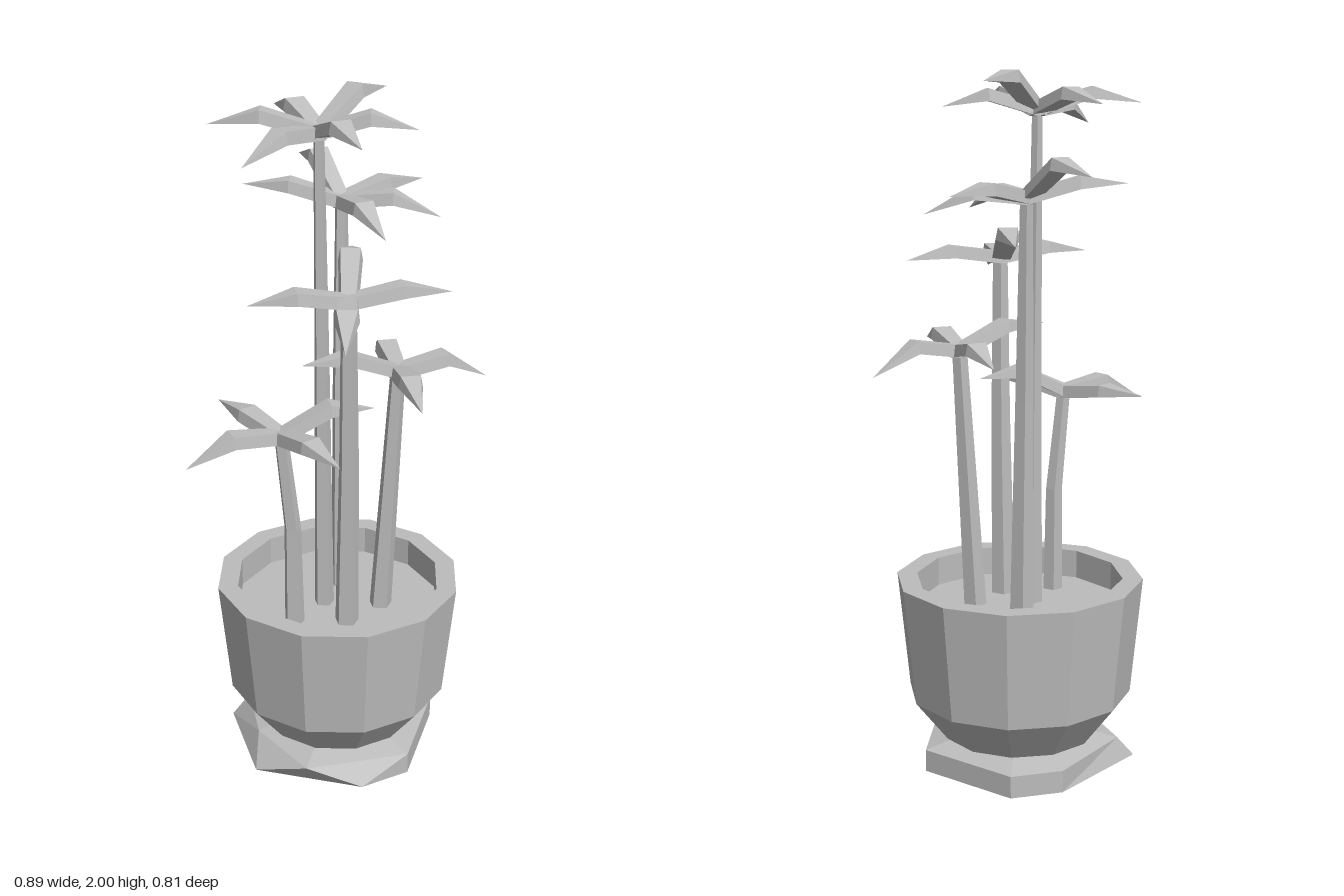
import * as THREE from 'three';

const V = (x, y, z) => new THREE.Vector3(x, y, z);

// Skin a list of equal-sized rings (counter-clockwise about the path) and cap both ends
function loft(rings) {
  const pos = [];
  const tri = (a, b, c) => pos.push(...a.toArray(), ...b.toArray(), ...c.toArray());
  const n = rings[0].length;
  for (let i = 0; i < rings.length - 1; i++) {
    for (let j = 0; j < n; j++) {
      const k = (j + 1) % n, r = rings[i], s = rings[i + 1];
      tri(r[j], r[k], s[k]);
      if (!s[j].equals(s[k])) tri(r[j], s[k], s[j]);
    }
  }
  const first = rings[0], last = rings[rings.length - 1];
  for (let j = 1; j < n - 1; j++) {
    tri(first[0], first[j + 1], first[j]);
    if (!last[0].equals(last[1])) tri(last[0], last[j], last[j + 1]);
  }
  const g = new THREE.BufferGeometry();
  g.setAttribute('position', new THREE.Float32BufferAttribute(pos, 3));
  g.computeVertexNormals();
  return g;
}

// Tapered five-sided stem through a few points
function stemGeometry(points, r0, r1) {
  return loft(points.map((p, i) => {
    const r = THREE.MathUtils.lerp(r0, r1, i / (points.length - 1));
    return Array.from({ length: 5 }, (_, j) => {
      const a = j / 5 * Math.PI * 2 + 0.3;
      return V(p.x + r * Math.sin(a), p.y, p.z + r * Math.cos(a));
    });
  }));
}

// Leaf blade: flat top, steep sides, bent at the middle and pointed at the tip
function leafGeometry(c, tip, lift) {
  const dir = V(tip.x - c.x, 0, tip.z - c.z).normalize();
  const side = V(0, 1, 0).cross(dir);
  const section = (p, w, h) => [[w, 0], [-w, 0], [-w - 0.006, -h], [w + 0.006, -h]]
    .map(([u, v]) => p.clone().addScaledVector(side, u).add(V(0, v, 0)));
  const mid = c.clone().lerp(tip, 0.52);
  mid.y += lift;
  return loft([section(c, 0.02, 0.035), section(mid, 0.028, 0.034), Array(4).fill(tip)]);
}

// Each palm: stem foot, bend and crown, then leaf tips [x, y, z, lift]
const PALMS = [
  { foot: [-0.025, 0.01], bend: [-0.03, 1.2, 0.01], top: [-0.035, 1.91, 0], r: [0.03, 0.015],
    tips: [[-0.32, 1.91, -0.08], [-0.27, 1.85, 0.15], [0.22, 1.9, 0.07], [0.015, 1.91, 0.27],
      [-0.1, 1.91, -0.27], [0.19, 1.97, -0.15, 0.058]] },
  { foot: [0.055, -0.09], bend: [0.055, 1.1, -0.11], top: [0.06, 1.68, -0.135], r: [0.036, 0.018],
    tips: [[0, 1.73, -0.41, 0.07], [0.325, 1.68, -0.24, 0.03], [0.325, 1.62, -0.05],
      [-0.2, 1.7, -0.23, 0.03], [0.12, 1.62, 0.12]] },
  { foot: [0.015, 0.13], bend: [0.015, 1, 0.145], top: [0.01, 1.49, 0.155], r: [0.036, 0.022],
    tips: [[-0.06, 1.42, 0.405], [0.3, 1.475, 0.15, 0.03], [-0.265, 1.48, 0.15, 0.03],
      [0.09, 1.53, -0.13, 0.06]] },
  { foot: [0.135, 0.06], bend: [0.155, 0.85, 0.065], top: [0.175, 1.24, 0.07], r: [0.034, 0.022],
    tips: [[0.445, 1.17, 0.04, 0.06], [0.16, 1.22, 0.36, 0.04], [0.18, 1.21, -0.19, 0.04],
      [-0.11, 1.28, 0.11, 0.04]] },
  { foot: [-0.135, 0.1], bend: [-0.138, 0.78, 0.1], top: [-0.17, 1.09, 0.1], r: [0.03, 0.02],
    tips: [[-0.445, 1.03, 0.165, 0.05], [-0.06, 1.08, 0.355, 0.03], [-0.3, 1.09, -0.15, 0.02],
      [0.1, 1.13, 0.1, 0.05]] },
];

export function createModel() {
  const model = new THREE.Group();
  model.name = 'pottedPalms';
  const grey = new THREE.MeshStandardMaterial({ color: 0xbcbcbc, flatShading: true });
  grey.name = 'plain grey';
  const add = (parent, geometry, name) => {
    const m = new THREE.Mesh(geometry, grey);
    m.name = name;
    parent.add(m);
    return m;
  };

  // Twelve-sided pot with a thick rim, and the soil inside
  const profile = [[0, 0.08], [0.23, 0.085], [0.327, 0.21], [0.361, 0.555], [0.302, 0.555], [0.302, 0.46]];
  const pot = add(model, new THREE.LatheGeometry(profile.map(([x, y]) => new THREE.Vector2(x, y)), 12), 'pot');
  pot.position.set(0.018, 0, 0.005);
  const soil = add(model, new THREE.CylinderGeometry(0.302, 0.302, 0.02, 12), 'soil');
  soil.position.set(0.018, 0.46, 0.005);

  // Uneven faceted foot, closing in towards the pot
  const bottom = [[0.17, -0.27], [0.02, -0.295], [-0.285, -0.15], [-0.27, 0.155], [0.02, 0.31], [0.17, 0.27], [0.32, 0]];
  const top = [[0.17, -0.27], [0.02, -0.295], [-0.23, -0.15], [-0.24, 0.05], [-0.14, 0.27], [0.17, 0.27], [0.32, 0]];
  const ring = (pts, y, s = 1) => pts.map(([x, z]) => V(0.018 + (x - 0.018) * s, y, z * s));
  add(model, loft([ring(bottom, 0), ring(top, 0.065), ring(top, 0.085, 0.72)]), 'foot');

  // Palms
  PALMS.forEach((p, i) => {
    const palm = new THREE.Group();
    palm.name = `palm${i + 1}`;
    const crown = V(...p.top);
    add(palm, stemGeometry([V(p.foot[0], 0.46, p.foot[1]), V(...p.bend), crown], ...p.r), 'stem');
    for (const [x, y, z, lift = 0.045] of p.tips) {
      add(palm, leafGeometry(crown, V(x, y, z), lift), 'leaf');
    }
    model.add(palm);
  });
  return model;
}
